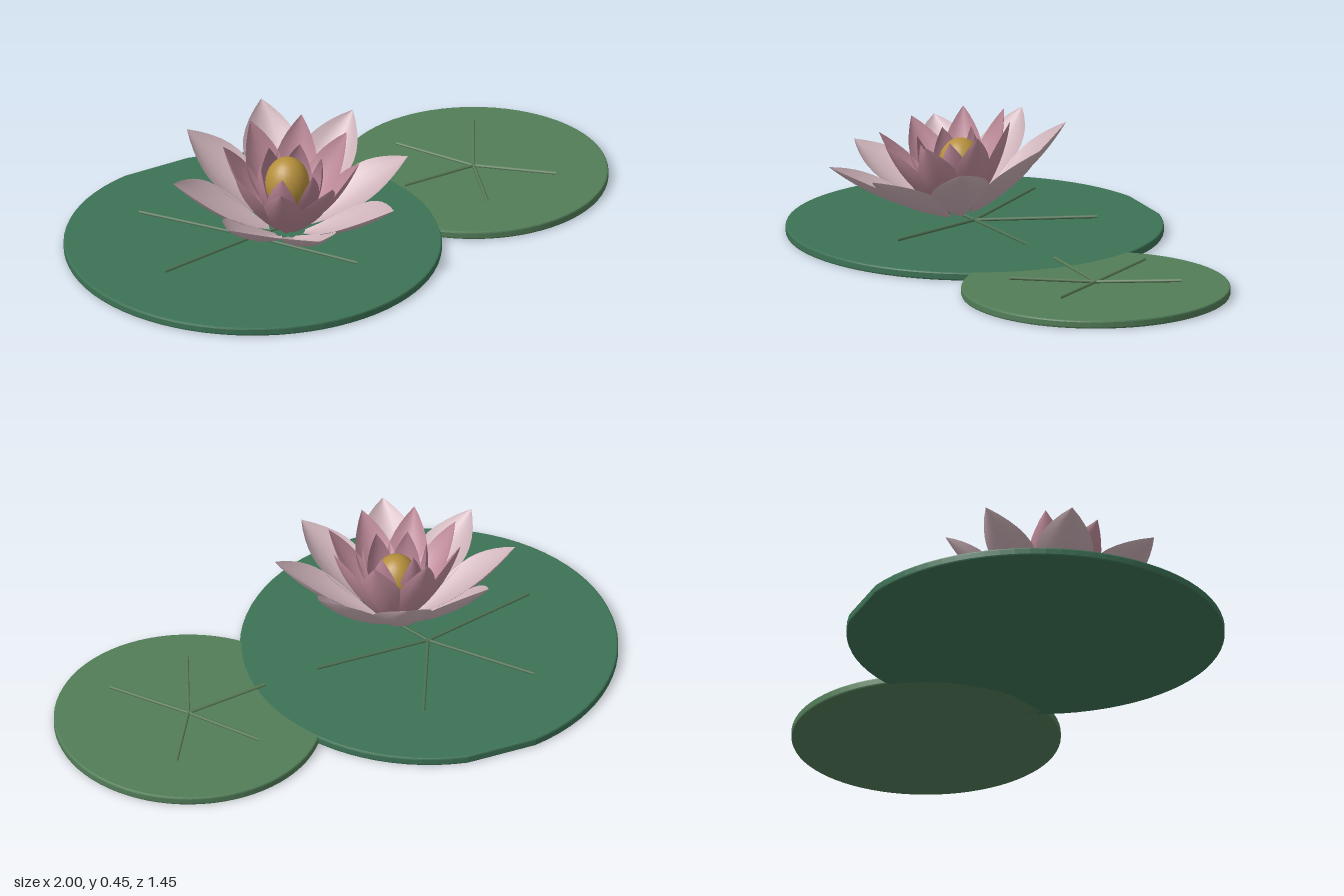
import * as THREE from 'three';

const rad = THREE.MathUtils.degToRad;
const mat = (color, side = THREE.FrontSide) => new THREE.MeshStandardMaterial({ color, side });

// Round leaf with a wedge notch; angles run from +x towards +z, in degrees
function leafPad(name, x, z, radius, top, from, to, color) {
  const b = 0.006;
  const shape = new THREE.Shape();
  shape.moveTo(0, 0);
  shape.absarc(0, 0, radius, rad(from), rad(to), false);
  shape.closePath();
  const geo = new THREE.ExtrudeGeometry(shape, {
    depth: top - 2 * b, curveSegments: 36,
    bevelEnabled: true, bevelSize: b, bevelThickness: b, bevelOffset: -b, bevelSegments: 2,
  });
  geo.rotateX(Math.PI / 2).translate(x, top - b, z);
  const mesh = new THREE.Mesh(geo, mat(color));
  mesh.name = name;
  return mesh;
}

// Thin ribs spreading from the middle of a leaf and rising slightly outwards
function veins(name, x, z, length, angles, color) {
  const group = new THREE.Group();
  group.name = name;
  const material = mat(color);
  for (const a of angles) {
    const c = Math.cos(rad(a)), s = Math.sin(rad(a));
    const at = (r, y) => new THREE.Vector3(x + c * r, y, z + s * r);
    const path = new THREE.LineCurve3(at(0, 0.045), at(length, 0.06));
    const vein = new THREE.Mesh(new THREE.TubeGeometry(path, 1, 0.006, 6), material);
    vein.name = 'vein';
    group.add(vein);
  }
  return group;
}

// Cupped, pointed petal: a curved midrib swept with a varying width
function petalGeometry(base, bend, tip, width, cup) {
  const rib = new THREE.QuadraticBezierCurve(
    new THREE.Vector2(...base), new THREE.Vector2(...bend), new THREE.Vector2(...tip));
  const geo = new THREE.PlaneGeometry(1, 1, 6, 12);
  const pos = geo.attributes.position;
  for (let i = 0; i < pos.count; i++) {
    const u = pos.getX(i) * 2, t = pos.getY(i) + 0.5;
    const p = rib.getPoint(t), d = rib.getTangent(t);
    const w = 0.14 * (1 - t) + Math.pow(Math.sin(Math.PI * Math.pow(t, 1.15)), 0.9) * 0.95;
    const lift = cup * u * u * w;
    pos.setXYZ(i, u * w * width / 2, p.y + d.x * lift, p.x - d.y * lift);
  }
  geo.computeVertexNormals();
  return geo;
}

function petalRing(name, count, offset, geo, color) {
  const ring = new THREE.Group();
  ring.name = name;
  const material = mat(color, THREE.DoubleSide);
  for (let i = 0; i < count; i++) {
    const petal = new THREE.Mesh(geo, material);
    petal.name = 'petal';
    petal.rotation.y = ((i + offset) / count) * Math.PI * 2;
    ring.add(petal);
  }
  return ring;
}

export function createModel() {
  const model = new THREE.Group();
  model.name = 'waterLily';

  // Floating leaves
  model.add(
    leafPad('largePad', -0.343, 0.065, 0.657, 0.03, -96, 241.5, 0x3d7255),
    leafPad('smallPad', 0.53, -0.26, 0.468, 0.0295, 143.5, 481, 0x527d58),
    veins('largePadVeins', -0.34, 0.065, 0.425, [-144.5, -82, -19, 46, 151], 0x4f7455),
    veins('smallPadVeins', 0.53, -0.26, 0.3, [-139, -76, 31, 95, 158], 0x5a7d58),
  );

  // Blossom, leaning towards the front
  const flower = new THREE.Group();
  flower.name = 'blossom';
  flower.position.set(-0.235, 0.105, 0.132);
  flower.rotation.x = 0.165;
  flower.add(
    petalRing('outerPetals', 8, 0,
      petalGeometry([0.065, 0], [0.28, 0.09], [0.42, 0.245], 0.2, 0.04), 0xcdb2b9),
    petalRing('middlePetals', 8, 0.5,
      petalGeometry([0.04, 0], [0.18, 0.12], [0.24, 0.31], 0.145, 0.03), 0xc08c9b),
    petalRing('innerPetals', 6, 0.5,
      petalGeometry([0.02, 0], [0.14, 0.12], [0.11, 0.28], 0.11, 0.02), 0xb27f90),
  );
  model.add(flower);

  // Golden centre
  const centre = new THREE.Mesh(new THREE.SphereGeometry(0.077, 24, 16), mat(0xb58f3c));
  centre.name = 'flowerCentre';
  centre.scale.y = 1.25;
  centre.position.set(-0.235, 0.273, 0.127);
  model.add(centre);

  return model;
}
